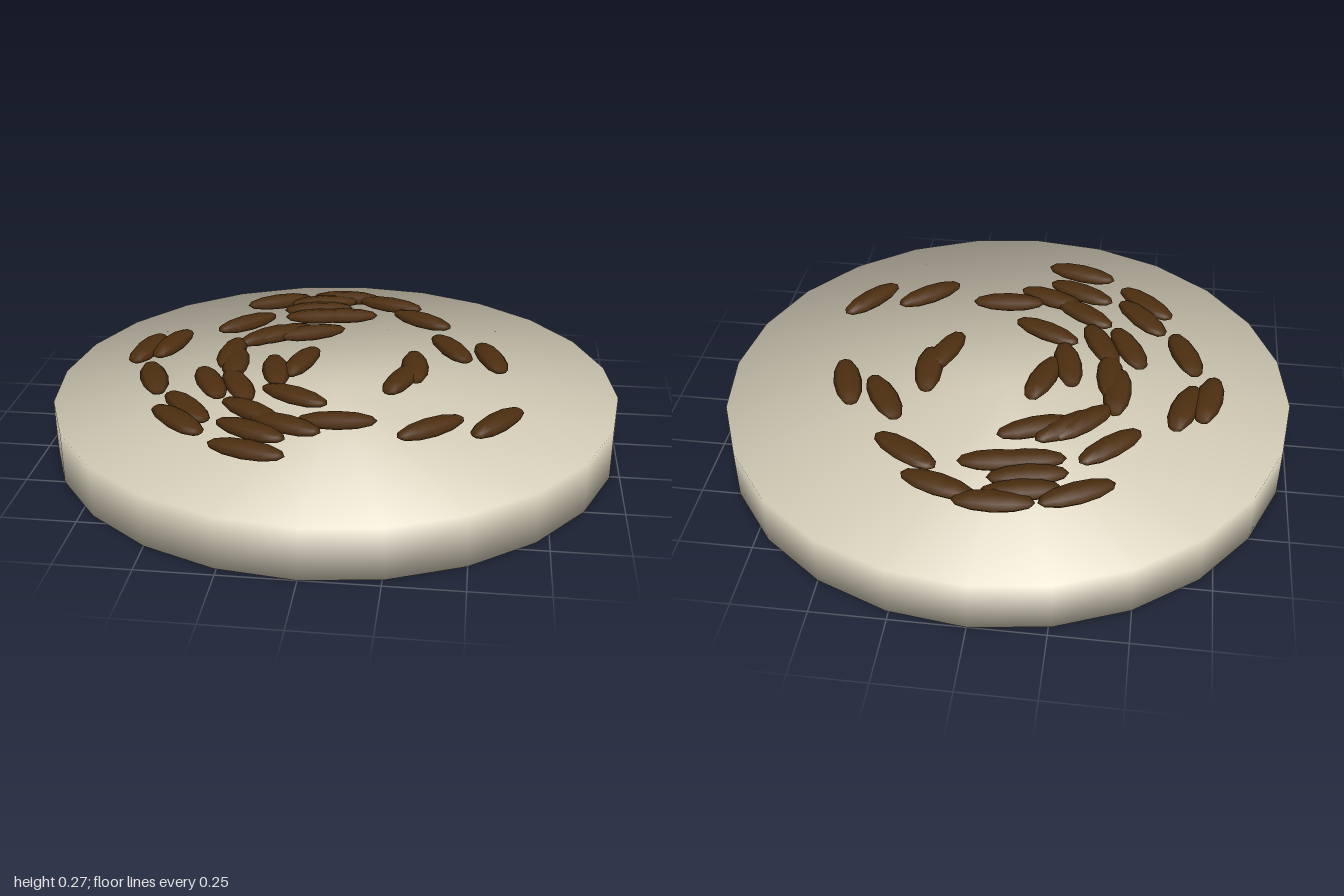
import * as THREE from 'three';

const cream = new THREE.MeshStandardMaterial({ color: 0xd6cfba });
cream.name = 'cream';
const brown = new THREE.MeshStandardMaterial({ color: 0x4e2f10 });
brown.name = 'roasted brown';

const HEIGHT = 0.18;

// Flat disc whose rim normals are blended between cap and wall for a soft look
function createDisc() {
  const geo = new THREE.CylinderGeometry(1, 1, HEIGHT, 24);
  const { position, normal } = geo.attributes;
  const n = new THREE.Vector3();
  for (let i = 0; i < position.count; i++) {
    const x = position.getX(i), z = position.getZ(i);
    const atCentre = Math.hypot(x, z) < 0.01;
    n.set(x, atCentre ? 1 : Math.sign(position.getY(i)), z).normalize();
    normal.setXYZ(i, n.x, n.y, n.z);
  }
  geo.translate(0, HEIGHT / 2, 0);
  const disc = new THREE.Mesh(geo, cream);
  disc.name = 'disc';
  return disc;
}

// Seeds: x, z, heading in degrees (from +x towards +z)
const SEEDS = [
  // outer back
  [-0.30, -0.62, -28], [-0.04, -0.69, -3], [0.145, -0.635, 18], [-0.12, -0.63, -12],
  [-0.135, -0.555, -12], [-0.12, -0.48, -10], [-0.03, -0.495, -8], [0.28, -0.485, 33],
  // inner back and sides
  [-0.39, -0.38, -45], [-0.29, -0.265, -47], [-0.24, -0.29, -42], [-0.13, -0.31, -25],
  [0.405, -0.215, 60], [0.55, -0.145, 72], [-0.63, -0.145, -75], [-0.71, -0.09, -80],
  // middle
  [-0.395, -0.085, -88], [-0.365, 0, 85], [-0.13, -0.035, -75], [-0.21, 0.055, 78],
  [0.28, -0.035, 85], [0.24, 0.075, -72], [-0.625, 0.165, 70], [-0.42, 0.18, 65],
  [-0.32, 0.19, 65], [-0.115, 0.25, 27],
  // front
  [-0.46, 0.38, 50], [-0.47, 0.48, 43], [-0.24, 0.385, 35], [0.05, 0.425, -5],
  [-0.115, 0.47, 22], [-0.22, 0.525, 25], [-0.21, 0.66, 15], [0.36, 0.44, -40],
  [0.575, 0.38, -55],
];

function createSeeds() {
  const group = new THREE.Group();
  group.name = 'seeds';
  // Flattened low-poly grain with its tips along x
  const geo = new THREE.SphereGeometry(1, 8, 6);
  geo.rotateZ(Math.PI / 2);
  geo.scale(0.135, 0.025, 0.05);
  for (const [x, z, heading] of SEEDS) {
    const seed = new THREE.Mesh(geo, brown);
    seed.name = 'seed';
    seed.position.set(x, 0.248, z);
    seed.rotation.y = -THREE.MathUtils.degToRad(heading);
    group.add(seed);
  }
  return group;
}

export function createModel() {
  const model = new THREE.Group();
  model.name = 'seededDisc';
  model.add(createDisc(), createSeeds());
  return model;
}
